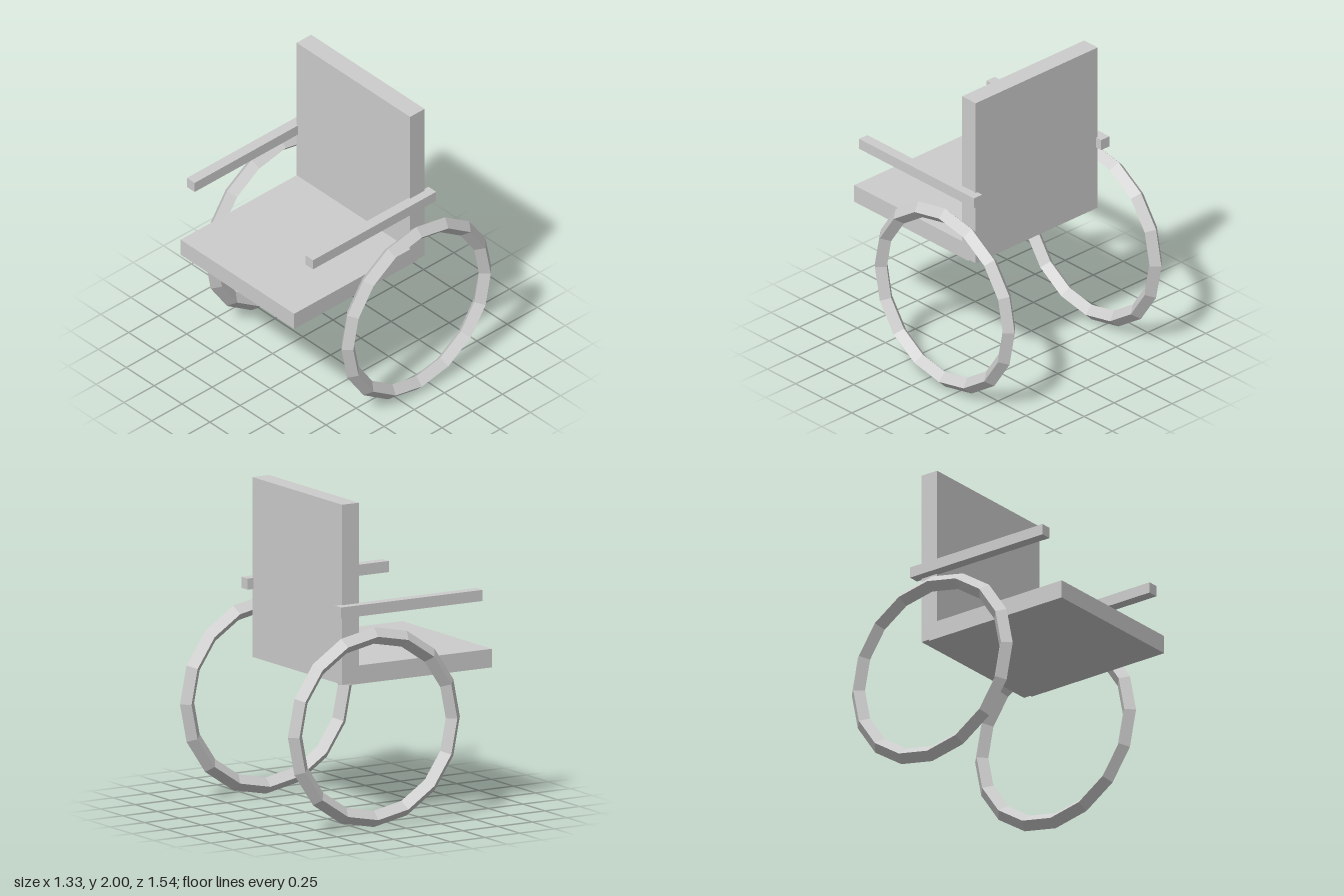
import * as THREE from 'three';

export function createModel() {
  const model = new THREE.Group();
  model.name = 'wheelchair';
  const grey = new THREE.MeshStandardMaterial({ color: 0xcccccc, flatShading: true });
  grey.name = 'light grey';

  function add(name, geometry, x, y, z) {
    const mesh = new THREE.Mesh(geometry, grey);
    mesh.name = name;
    mesh.position.set(x, y, z);
    model.add(mesh);
    return mesh;
  }

  // Box given by its extents along each axis
  function slab(name, [x0, x1], [y0, y1], [z0, z1]) {
    const box = new THREE.BoxGeometry(x1 - x0, y1 - y0, z1 - z0);
    return add(name, box, (x0 + x1) / 2, (y0 + y1) / 2, (z0 + z1) / 2);
  }

  // Seat and upright backrest
  slab('seat', [-0.511, 0.507], [0.875, 0.99], [-0.25, 0.77]);
  slab('backrest', [-0.511, 0.507], [0.884, 2], [-0.31, -0.19]);

  // Armrests and large wheels on both sides
  for (const [side, s] of [['left', 1], ['right', -1]]) {
    const arm = new THREE.BoxGeometry(0.069, 0.069, 1.02);
    add(side + 'Armrest', arm, s * 0.531 - 0.002, 1.342, 0.156);

    // Hoop with a diamond section
    const hoop = new THREE.TorusGeometry(0.569, 0.051, 4, 16);
    hoop.rotateY(Math.PI / 2);
    add(side + 'Wheel', hoop, s * 0.612 - 0.002, 0.62, -0.147);
  }

  return model;
}
